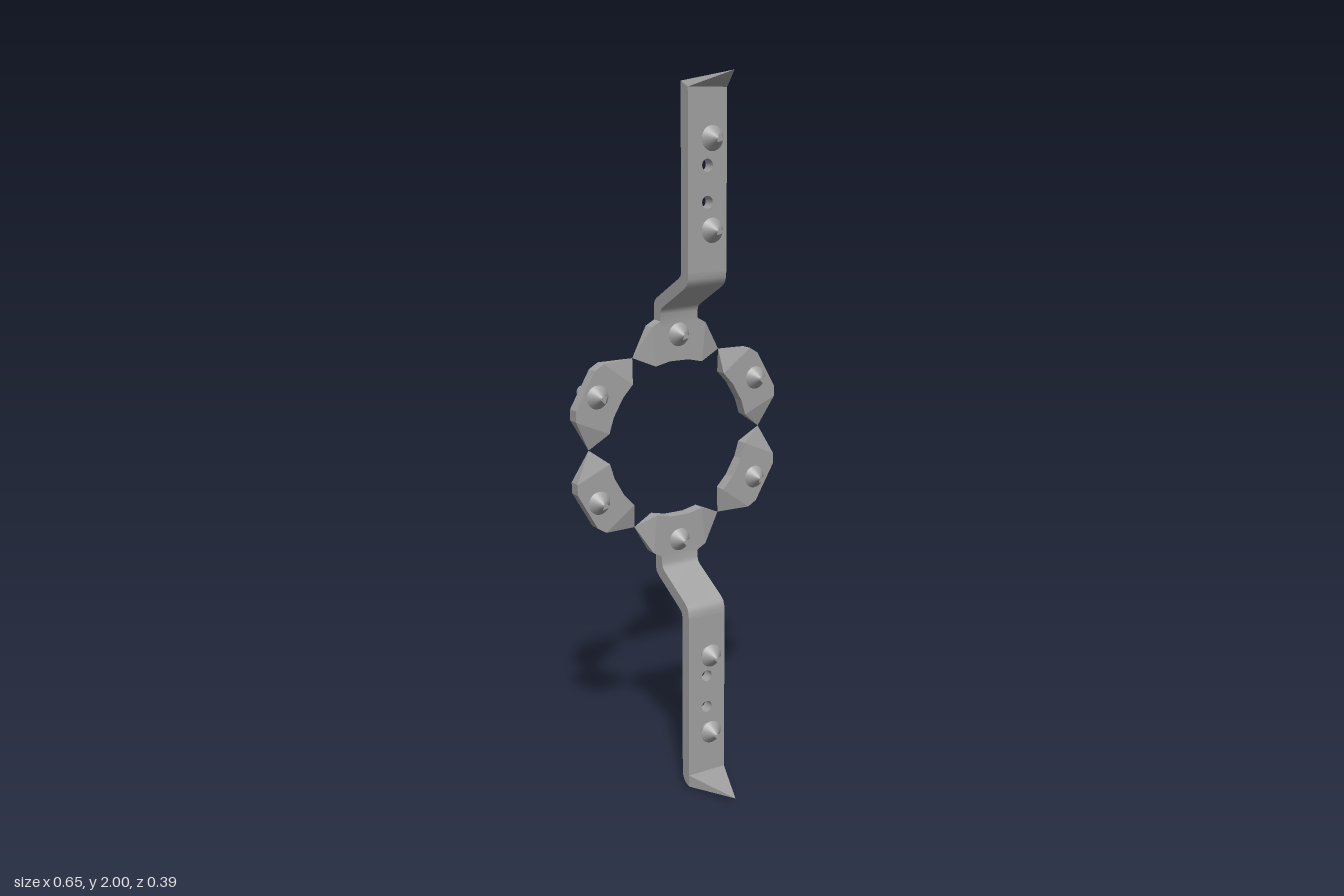
import * as THREE from 'three';
import { toCreasedNormals } from 'three/addons/utils/BufferGeometryUtils.js';
import { ConvexGeometry } from 'three/addons/geometries/ConvexGeometry.js';

const steel = new THREE.MeshStandardMaterial({ color: 0xa0a0a0, side: THREE.DoubleSide });
steel.name = 'steel';

const HALF = 0.06;                 // half width of the arms
const BACK = -0.14, FRONT = -0.105; // ring thickness in z

function add(parent, name, geometry) {
  const mesh = new THREE.Mesh(geometry, steel);
  mesh.name = name;
  parent.add(mesh);
  return mesh;
}

const shapeOf = (pts) => new THREE.Shape(pts.map(([x, y]) => new THREE.Vector2(x, y)));
const extrude = (shape, depth) =>
  new THREE.ExtrudeGeometry(shape, { depth, bevelEnabled: false, curveSegments: 16 });

// Bolt along z: round shank, pointed head and a small three-sided mark at its tip
function bolt(parent, name, y, shankBack, headBase) {
  const g = new THREE.Group();
  g.name = name;
  g.position.y = y;
  const len = headBase - shankBack;
  const shank = add(g, 'boltShank', new THREE.CylinderGeometry(0.018, 0.018, len, 24));
  shank.rotation.x = Math.PI / 2;
  shank.position.z = shankBack + len / 2;
  const head = add(g, 'boltHead', new THREE.ConeGeometry(0.033, 0.032, 24));
  head.rotation.x = Math.PI / 2;
  head.position.z = headBase + 0.016;
  const mark = add(g, 'boltMark', new THREE.CircleGeometry(0.014, 3));
  mark.rotation.z = -0.3;
  mark.position.z = headBase + 0.037;
  parent.add(g);
}

// Ring segment: thick middle with both ends tapering to a point
function ringSegment() {
  const g = new THREE.Group();
  g.name = 'ringSegment';
  const half = [[0.03, 0.225], [0.075, 0.215], [0.087, 0.325], [0.06, 0.34]];
  const outline = [...half, ...half.map(([x, y]) => [-x, y]).reverse()];
  add(g, 'segmentBody', extrude(shapeOf(outline), FRONT - BACK)).position.z = BACK;
  for (const s of [1, -1]) {
    const pts = [new THREE.Vector3(s * 0.14, 0.2425, (BACK + FRONT) / 2)];
    for (const z of [BACK, FRONT])
      for (const [x, y] of [half[1], half[2]]) pts.push(new THREE.Vector3(s * x, y, z));
    add(g, 'segmentTip', new ConvexGeometry(pts));
  }
  bolt(g, 'ringBolt', 0.298, -0.195, FRONT);
  return g;
}

// Arm: drilled plate, stepped joint down to the ring, and a pointed end hook
function arm(name, hookProfile, hookTip, plateEnd) {
  const g = new THREE.Group();
  g.name = name;

  const plate = shapeOf([[-HALF, 0.485], [HALF, 0.485], [HALF, plateEnd], [-HALF, plateEnd]]);
  for (const y of [0.597, 0.668, 0.763, 0.832]) {
    const hole = new THREE.Path();
    hole.absarc(0, y, 0.0165, 0, Math.PI * 2, true);
    plate.holes.push(hole);
  }
  add(g, 'armPlate', extrude(plate, 0.035)).position.z = 0.005;

  // side profile of the step, as [z, y]
  const step = shapeOf([
    [0.04, 0.485], [0.039, 0.468], [0.033, 0.453], [0.02, 0.442],
    [-0.092, 0.38], [-0.101, 0.372], [-0.105, 0.36], [-0.105, 0.32],
    [-0.14, 0.32], [-0.14, 0.38], [-0.136, 0.392], [-0.125, 0.402],
    [-0.01, 0.466], [0.001, 0.474], [0.005, 0.485]]);
  const stepGeo = extrude(step, HALF * 2);
  stepGeo.rotateY(-Math.PI / 2);   // profile x becomes z
  stepGeo.translate(HALF, 0, 0);
  add(g, 'armStep', toCreasedNormals(stepGeo, 0.7));

  const pts = [new THREE.Vector3(0, hookTip[1], hookTip[0])];
  for (const [z, y] of hookProfile)
    for (const x of [-HALF, HALF]) pts.push(new THREE.Vector3(x, y, z));
  add(g, 'endHook', new ConvexGeometry(pts));

  for (const y of [0.597, 0.832]) bolt(g, 'armBolt', y, 0.035, 0.064);
  return g;
}

export function createModel() {
  const model = new THREE.Group();
  model.name = 'hingedBracket';

  // Everything is laid out around the ring centre
  const centre = new THREE.Group();
  centre.name = 'bracketAssembly';
  centre.position.y = 1;
  model.add(centre);

  for (let i = 0; i < 6; i++) {
    const segment = ringSegment();
    segment.rotation.z = (i * Math.PI) / 3;
    centre.add(segment);
  }

  // Upper arm has a sharp raised hook; lower arm a rounded, longer one
  centre.add(arm('upperArm',
    [[0.005, 0.96], [0.005, 0.975], [0.04, 0.96]], [0.164, 1.0], 0.96));
  const lower = arm('lowerArm',
    [[0.005, 0.965], [0.008, 0.98], [0.015, 0.99], [0.025, 0.996], [0.04, 1.0], [0.04, 0.965]],
    [0.192, 0.985], 0.965);
  lower.rotation.z = Math.PI;
  centre.add(lower);

  return model;
}
